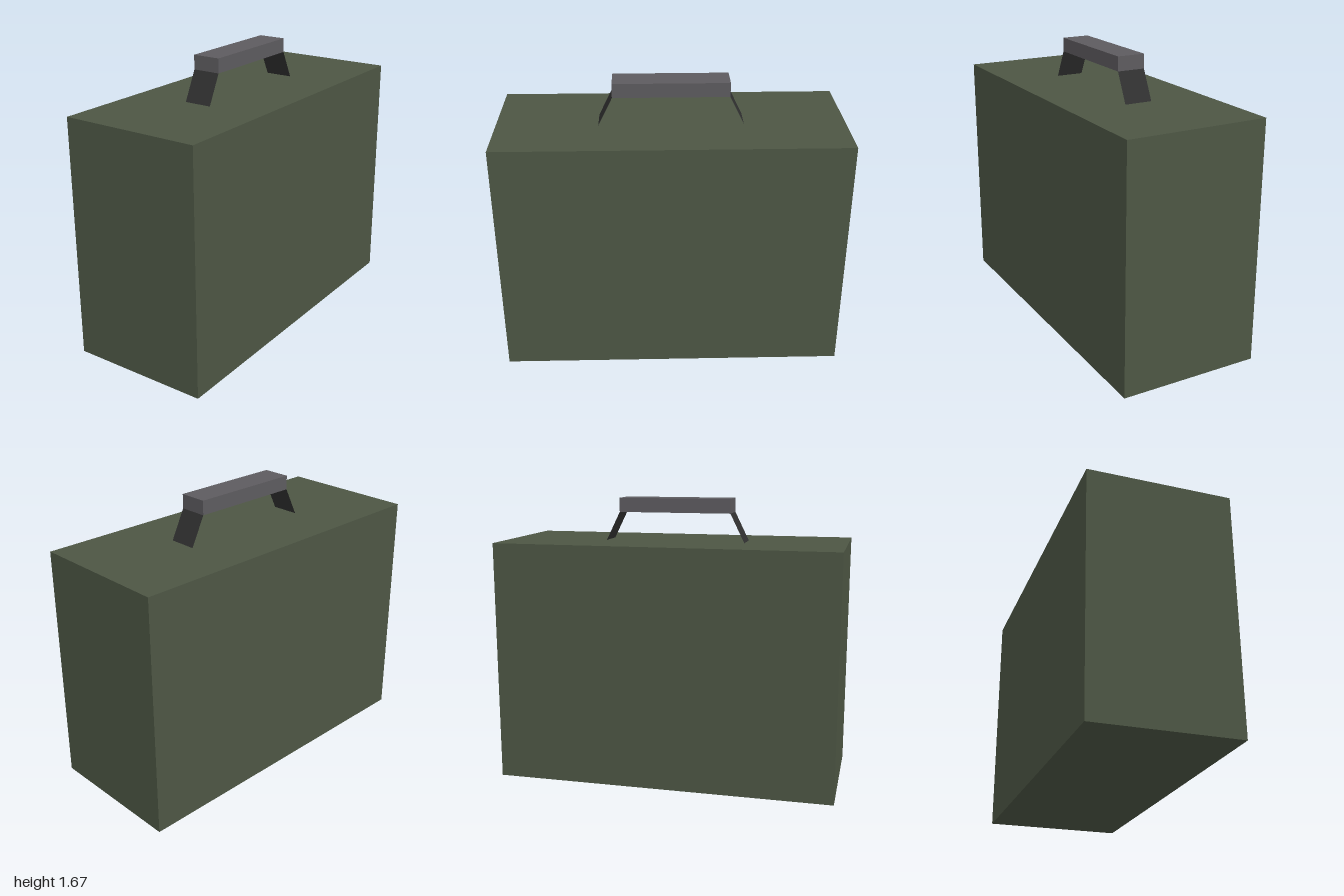
import * as THREE from 'three';

export function createModel() {
  const model = new THREE.Group();
  const olive = new THREE.MeshStandardMaterial({ color: 0x4d5644 });
  olive.name = 'olive green';
  const grey = new THREE.MeshStandardMaterial({ color: 0x5d5b5f });
  grey.name = 'grip grey';
  const black = new THREE.MeshStandardMaterial({ color: 0x303030, side: THREE.DoubleSide });
  black.name = 'strap black';

  const add = (name, geometry, material, x, y, z) => {
    const mesh = new THREE.Mesh(geometry, material);
    mesh.name = name;
    mesh.position.set(x, y, z);
    model.add(mesh);
    return mesh;
  };

  // Case body, standing on the ground
  const bodyTop = 1.417;
  add('caseBody', new THREE.BoxGeometry(0.833, bodyTop, 2), olive, 0, bodyTop / 2, 0);

  // Grip bar above the lid
  const gripBottom = 1.585, gripTop = 1.668, gripEnd = 0.333, width = 0.166;
  add('handleGrip', new THREE.BoxGeometry(width, gripTop - gripBottom, gripEnd * 2), grey,
    0, (gripBottom + gripTop) / 2, 0);

  // Flat sloping straps, from the grip ends outward to the lid
  const rise = gripBottom - bodyTop, run = 0.083;
  for (const side of [1, -1]) {
    const strap = add(side > 0 ? 'frontHandleStrap' : 'backHandleStrap',
      new THREE.PlaneGeometry(width, Math.hypot(rise, run)), black,
      0, bodyTop + rise / 2, side * (gripEnd + run / 2));
    strap.rotation.order = 'YXZ';
    strap.rotation.set(-Math.atan2(run, rise), side > 0 ? 0 : Math.PI, 0);
  }
  return model;
}
